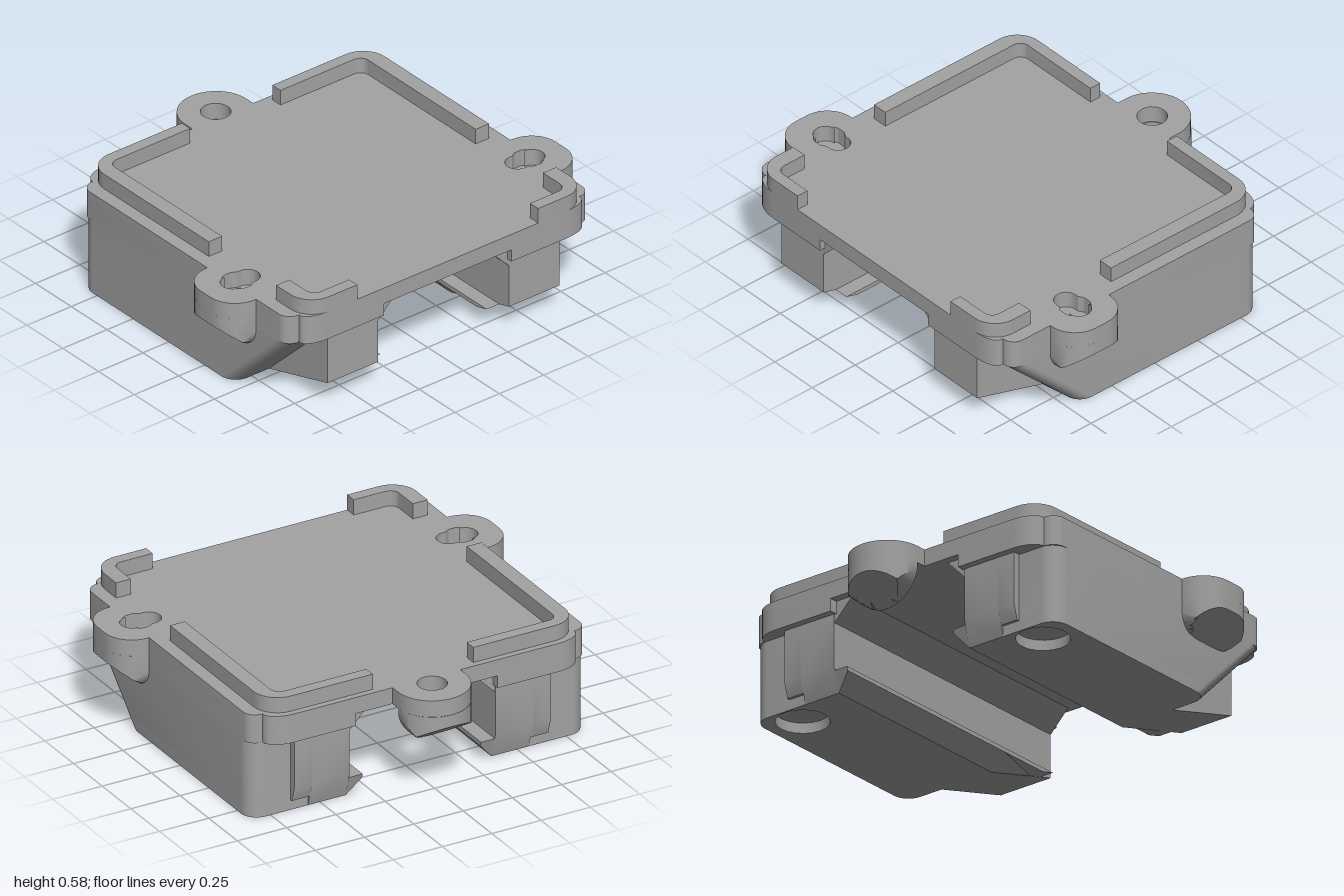
import * as THREE from 'three';
import { toCreasedNormals } from 'three/addons/utils/BufferGeometryUtils.js';

const grey = new THREE.MeshStandardMaterial({ color: 0xa3a3a3 });
grey.name = 'plastic grey';

// Outline in plan from corners [x, z, roundIn, roundOut]; rounded corners are elliptical arcs
function outline(corners, Type = THREE.Shape) {
  const path = new Type(), k = 0.5523, n = corners.length;
  corners.forEach(([x, z, rIn = 0, rOut = rIn], i) => {
    const p = new THREE.Vector2(x, -z);
    const toward = (c, r) => new THREE.Vector2(c[0], -c[1]).sub(p).normalize().multiplyScalar(r);
    const a = toward(corners[(i + n - 1) % n], rIn);
    const b = toward(corners[(i + 1) % n], rOut);
    const s = p.clone().add(a);
    if (i === 0) path.moveTo(s.x, s.y); else path.lineTo(s.x, s.y);
    if (rIn) {
      const c1 = p.clone().addScaledVector(a, 1 - k), c2 = p.clone().addScaledVector(b, 1 - k), e = p.clone().add(b);
      path.bezierCurveTo(c1.x, c1.y, c2.x, c2.y, e.x, e.y);
    }
  });
  path.closePath();
  return path;
}

// Plan outline raised from y0 to y1
function slab(shape, y0, y1) {
  return new THREE.ExtrudeGeometry(shape, { depth: y1 - y0, bevelEnabled: false, curveSegments: 10 })
    .rotateX(-Math.PI / 2).translate(0, y0, 0);
}

// Side profile of [z, y] points extended from x0 to x1
function sideProfile(points, x0, x1) {
  const shape = new THREE.Shape(points.map(([z, y]) => new THREE.Vector2(-z, y)));
  return new THREE.ExtrudeGeometry(shape, { depth: x1 - x0, bevelEnabled: false })
    .rotateY(Math.PI / 2).translate(x0, 0, 0);
}

// Box whose vertices are moved by rule(u, isTop, w), with u and w running 0..1 along x and z
function warp(nx, nz, rule) {
  const geo = new THREE.BoxGeometry(1, 1, 1, nx, 1, nz), p = geo.attributes.position;
  for (let i = 0; i < p.count; i++) {
    p.setXYZ(i, ...rule(p.getX(i) + 0.5, p.getY(i) > 0, p.getZ(i) + 0.5));
  }
  return geo;
}

// Mirror across x, keeping the faces outward
function mirrored(geo) {
  const g = geo.index ? geo.toNonIndexed() : geo.clone(), p = g.attributes.position;
  for (let i = 0; i < p.count; i += 3) {
    const t = [0, 1, 2].map((j) => [-p.getX(i + j), p.getY(i + j), p.getZ(i + j)]);
    [0, 1, 2].forEach((j) => p.setXYZ(i + j, ...t[2 - j]));
  }
  return g;
}

export function createModel() {
  const model = new THREE.Group();
  model.name = 'mountingBase';
  const add = (name, geo) => {
    const mesh = new THREE.Mesh(toCreasedNormals(geo, 0.5), grey);
    mesh.name = name;
    model.add(mesh);
  };
  const addPair = (name, geo) => {
    add(name + 'Left', geo);
    add(name + 'Right', mirrored(geo));
  };
  const flipX = (list) => list.map(([x, z, a = 0, b = a]) => [-x, z, b, a]).reverse();

  // Top plate with three screw ears
  const half = [
    [0.79, 0.89, 0.12, 0.05], [0.79, 0.83], [0.855, 0.83, 0.06], [0.855, 0.61], [1, 0.61, 0.135],
    [1, 0.27, 0.135], [0.855, 0.27], [0.855, -0.61, 0.06, 0.06], [0.79, -0.61],
    [0.79, -0.68, 0.068, 0.12], [0.172, -0.68], [0.172, -0.9, 0.17, 0.1719],
  ];
  const plate = outline([...half, ...flipX(half)]);
  const slot = [
    [0.705, 0.49, 0.054], [0.705, 0.38, 0.054], [0.775, 0.38], [0.8, 0.365], [0.84, 0.365], [0.865, 0.38],
    [0.9, 0.38, 0.054], [0.9, 0.49, 0.054], [0.865, 0.49], [0.84, 0.505], [0.8, 0.505], [0.775, 0.49],
  ];
  plate.holes.push(outline(slot, THREE.Path), outline(flipX(slot), THREE.Path));
  const backHole = new THREE.Path();
  backHole.absarc(0, 0.73, 0.068, 0, Math.PI * 2, true);
  plate.holes.push(backHole);
  add('topPlate', slab(plate, 0.43, 0.51));

  // Thicker plate sides beside the central channel
  addPair('plateSide', slab(outline([
    [0.36, 0.89], [0.79, 0.89, 0.12, 0.05], [0.79, 0.83], [0.855, 0.83, 0.06], [0.855, -0.61, 0.06],
    [0.79, -0.61], [0.79, -0.68, 0.068, 0.12], [0.36, -0.68],
  ]), 0.37, 0.43));
  const gusset = new THREE.Shape([[0.27, 0.431], [0.37, 0.33], [0.37, 0.431]].map((p) => new THREE.Vector2(...p)));
  addPair('channelChamfer', new THREE.ExtrudeGeometry(gusset, { depth: 1.5, bevelEnabled: false }).translate(0, 0, -0.64));

  // Raised corner rims
  addPair('backRim', slab(outline([
    [0.255, -0.65], [0.79, -0.65, 0.12], [0.79, 0.2], [0.715, 0.2], [0.715, -0.593, 0.045], [0.255, -0.593],
  ]), 0.51, 0.585));
  addPair('frontRim', slab(outline([
    [0.51, 0.89], [0.79, 0.89, 0.12], [0.79, 0.67], [0.715, 0.67], [0.715, 0.833, 0.045], [0.51, 0.833],
  ]), 0.51, 0.585));

  // Side walls: front end leans back toward the bottom, round recess underneath
  const wallShape = () => outline([[0.55, 0.83], [0.855, 0.83, 0.08], [0.855, -0.61, 0.08], [0.55, -0.61]]);
  const wall = (shape, y0, y1) => {
    const geo = slab(shape, y0, y1), p = geo.attributes.position;
    for (let i = 0; i < p.count; i++) {
      if (p.getZ(i) > 0.5) p.setZ(i, p.getZ(i) - 0.38 * (1 - p.getY(i) / 0.37));
    }
    return geo;
  };
  const foot = wallShape(), recess = new THREE.Path();
  recess.absarc(0.68, 0.48, 0.122, 0, Math.PI * 2, true);
  foot.holes.push(recess);
  addPair('sideWallFoot', wall(foot, 0, 0.05));
  addPair('sideWall', wall(wallShape(), 0.05, 0.37));

  // Clip rails along the channel
  addPair('railFront', sideProfile([[0.2, 0], [0.45, 0], [0.86, 0.12], [0.86, 0.38], [0.2, 0.38]], 0.37, 0.653));
  addPair('railBack', sideProfile([[0.2, 0], [-0.61, 0], [-0.645, 0.12], [-0.645, 0.38], [0.2, 0.38]], 0.37, 0.56));
  addPair('railBackEnd', sideProfile([[-0.6, 0.05], [-0.624, 0.05], [-0.645, 0.12], [-0.645, 0.38], [-0.6, 0.38]], 0.56, 0.65));

  // Clip hooks pointing into the channel
  const stations = [[-0.64, 0.1], [-0.634, 0.08], [-0.61, 0], [0.45, 0], [0.72, 0.08], [0.79, 0.1]];
  addPair('clipHook', warp(1, 5, (u, top, w) => {
    const [z, low] = stations[Math.round(w * 5)];
    return [0.3 + 0.07 * u, top ? 0.1 : Math.max(0.08 * (1 - u), low), z];
  }));

  // Sloped supports under the side ears
  const arc = (t) => Math.sqrt(Math.max(0, 1 - t * t));
  addPair('sideEarSupport', warp(8, 24, (u, top, w) => {
    const z = 0.44 - 0.17 * Math.cos(w * Math.PI), d = Math.abs(z - 0.44);
    const reach = 0.865 + 0.135 * arc(Math.max(0, d - 0.035) / 0.135);
    const x = 0.8 + (reach - 0.8) * u;
    const round = 0.35 - 0.1 * arc(Math.max(0, d - 0.07) / 0.1);
    return [x, top ? 0.43 : Math.min(0.37, Math.max(0.25 + 0.8 * (x - 0.85), round)), z];
  }));

  // Half-round support under the back ear, grooved for the screw
  const r = 0.172, groove = (x) => -0.73 - 0.062 * arc(x / 0.062);
  const under = (x, z) => Math.max(0.43 - 0.175 * arc(x / 0.175), 0.255 + 0.68 * (-0.73 - z));
  add('backEarSupport', warp(40, 8, (u, top, w) => {
    const x = r * Math.sin((u - 0.5) * Math.PI), back = -0.73 - r * arc(x / r);
    const z = back + (groove(x) - back) * w;
    return [x, top ? 0.43 : Math.min(0.43, under(x, z)), z];
  }));
  add('backEarGrooveFloor', warp(12, 4, (u, top, w) => {
    const x = 0.062 * (2 * u - 1), z = groove(x) + (-0.73 - groove(x)) * w;
    return [x, top ? 0.3 : Math.min(0.3, under(x, z)), z];
  }));

  return model;
}
